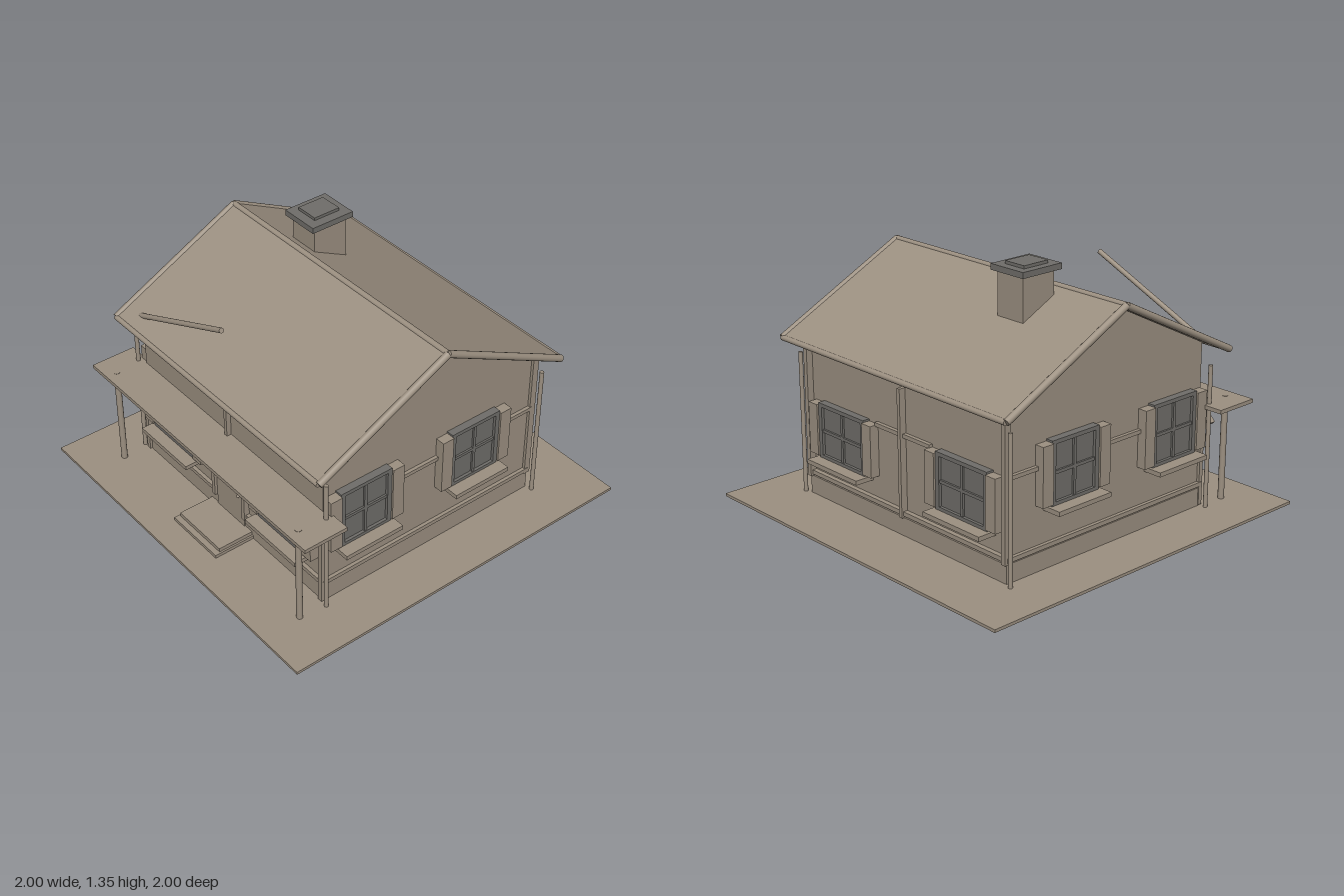
import * as THREE from 'three';

const taupe = new THREE.MeshStandardMaterial({ color: 0x9c9081 });
taupe.name = 'taupe plaster and wood';
const gray = new THREE.MeshStandardMaterial({ color: 0x706e6a });
gray.name = 'gray glass and stone';

function add(parent, name, geometry, material = taupe) {
  const mesh = new THREE.Mesh(geometry, material);
  mesh.name = name;
  parent.add(mesh);
  return mesh;
}

// Box given by its minimum and maximum on each axis
function box(parent, name, [x0, x1], [y0, y1], [z0, z1], material) {
  const mesh = add(parent, name, new THREE.BoxGeometry(x1 - x0, y1 - y0, z1 - z0), material);
  mesh.position.set((x0 + x1) / 2, (y0 + y1) / 2, (z0 + z1) / 2);
  return mesh;
}

// Round bar between two points
function rod(parent, name, a, b, radius, material) {
  const p = new THREE.Vector3(...a), q = new THREE.Vector3(...b);
  const mesh = add(parent, name, new THREE.CylinderGeometry(radius, radius, p.distanceTo(q), 14), material);
  mesh.position.copy(p).add(q).multiplyScalar(0.5);
  mesh.quaternion.setFromUnitVectors(new THREE.Vector3(0, 1, 0), q.sub(p).normalize());
  return mesh;
}

// Solid with a (z, y) outline, spanning -halfWidth to halfWidth in x
function profile(parent, name, points, halfWidth) {
  const shape = new THREE.Shape(points.map(([z, y]) => new THREE.Vector2(-z, y)));
  const geometry = new THREE.ExtrudeGeometry(shape, { depth: halfWidth * 2, bevelEnabled: false });
  geometry.translate(0, 0, -halfWidth).rotateY(Math.PI / 2);
  return add(parent, name, geometry);
}

// Window with cross bars, sill and shutters, facing local +z
function makeWindow(w, h) {
  const g = new THREE.Group();
  g.name = 'window';
  const x = w / 2, y = h / 2;
  box(g, 'glass', [-x, x], [-y, y], [0, 0.025], gray);
  for (const s of [-1, 1]) {
    box(g, 'frameSide', [s * x - 0.012, s * x + 0.012], [-y, y], [0, 0.04], gray);
    box(g, 'frameRail', [-x, x], [s * (y - 0.01) - 0.01, s * (y - 0.01) + 0.01], [0, 0.04], gray);
    const c = s * (x + 0.045);
    box(g, 'shutter', [c - 0.033, c + 0.033], [-y + 0.015, y - 0.01], [0, 0.05]);
  }
  box(g, 'uprightBar', [-0.008, 0.008], [-y, y], [0, 0.035], gray);
  box(g, 'crossBar', [-x, x], [-0.008, 0.008], [0, 0.035], gray);
  box(g, 'sill', [-x - 0.03, x + 0.03], [-y - 0.02, -y + 0.003], [0, 0.105]);
  return g;
}

export function createModel() {
  const model = new THREE.Group();
  model.name = 'house';
  const front = 0.62, back = -0.65, side = 0.71, ridge = -0.015;

  // Ground and body
  box(model, 'ground', [-1, 1], [0, 0.015], [-1, 1]);
  box(model, 'foundation', [-0.72, 0.72], [0.015, 0.11], [-0.67, 0.63]);
  profile(model, 'walls', [[front, 0.1], [front, 0.865], [ridge, 1.185], [back, 0.865], [back, 0.1]], side);

  // Roof slabs with round edging
  profile(model, 'roof', [[0.72, 0.82], [0.72, 0.84], [ridge, 1.21], [-0.755, 0.84], [-0.755, 0.82], [ridge, 1.185]], 0.79);
  rod(model, 'ridgeTrim', [-0.8, 1.2, ridge], [0.8, 1.2, ridge], 0.016);
  for (const z of [0.715, -0.75]) {
    rod(model, 'eaveTrim', [-0.8, 0.832, z], [0.8, 0.832, z], 0.014);
    for (const s of [-1, 1]) rod(model, 'rakeTrim', [s * 0.802, 0.832, z], [s * 0.802, 1.2, ridge], 0.018);
  }
  rod(model, 'loosePole', [-0.7, 0.865, 0.64], [0, 1.17, 0.64], 0.013);

  // Chimney
  box(model, 'chimney', [-0.405, -0.235], [0.95, 1.3], [-0.275, -0.08]);
  box(model, 'chimneyCap', [-0.43, -0.215], [1.3, 1.33], [-0.3, -0.055], gray);
  box(model, 'chimneyTop', [-0.39, -0.265], [1.33, 1.345], [-0.255, -0.105], gray);

  // Windows on all four walls
  for (const s of [-1, 1]) {
    const placements = [
      [0.325, 0.29, s * 0.437, 0.385, front, 0],
      [0.325, 0.29, s * 0.437, 0.385, back, Math.PI],
      [0.275, 0.32, s * side, 0.485, 0.398, s * Math.PI / 2],
      [0.275, 0.32, s * side, 0.485, -0.27, s * Math.PI / 2],
    ];
    for (const [w, h, x, y, z, turn] of placements) {
      const win = makeWindow(w, h);
      win.position.set(x, y, z);
      win.rotation.y = turn;
      model.add(win);
    }
  }

  // Wall bands, corner posts and centre battens
  box(model, 'backLowerBand', [-0.72, 0.72], [0.12, 0.142], [-0.675, back]);
  box(model, 'backUpperBand', [-0.2, 0.2], [0.515, 0.535], [-0.67, back]);
  box(model, 'backBatten', [-0.01, 0.01], [0.11, 0.76], [-0.685, back]);
  box(model, 'frontBatten', [-0.01, 0.01], [0.48, 0.76], [front, 0.645]);
  for (const s of [-1, 1]) {
    const span = (a, b) => s > 0 ? [a, b] : [-b, -a];
    box(model, 'frontLowerBand', span(0.12, 0.72), [0.12, 0.142], [front, 0.64]);
    box(model, 'sideLowerBand', span(side, 0.728), [0.12, 0.142], [-0.67, 0.635]);
    for (const z of [[-0.067, 0.19], [-0.66, -0.475]]) {
      box(model, 'sideUpperBand', span(side, 0.728), [0.515, 0.535], z);
    }
    for (const z of [0.638, -0.68]) {
      rod(model, 'cornerPost', [s * 0.755, 0, z], [s * 0.755, 0.755, z], 0.011);
    }
    box(model, 'backCornerTrim', span(0.7, 0.725), [0.11, 0.82], [-0.685, back]);
    box(model, 'frontCornerTrim', span(0.7, 0.725), [0.02, 0.54], [front, 0.643]);

    // Porch posts and braces
    rod(model, 'porchPost', [s * 0.735, 0, 0.78], [s * 0.735, 0.562, 0.78], 0.016);
    const brace = add(model, 'porchBrace', new THREE.BoxGeometry(0.15, 0.018, 0.05));
    brace.position.set(s * 0.672, 0.485, 0.69);
    brace.rotation.z = -s * Math.PI / 4;
  }
  box(model, 'porchRoof', [-0.86, 0.86], [0.54, 0.56], [0.6, 0.84]);

  // Door, its surround and steps
  box(model, 'door', [-0.11, 0.11], [0.05, 0.465], [front, 0.635]);
  box(model, 'doorWindow', [-0.065, 0.065], [0.27, 0.395], [0.635, 0.642], gray);
  for (const s of [-1, 1]) box(model, 'doorJamb', [s * 0.122 - 0.012, s * 0.122 + 0.012], [0.11, 0.49], [front, 0.65]);
  box(model, 'doorLintel', [-0.11, 0.11], [0.465, 0.49], [front, 0.65]);
  const knob = add(model, 'doorKnob', new THREE.SphereGeometry(0.008, 12, 8));
  knob.position.set(0.075, 0.225, 0.642);
  box(model, 'lowerStep', [-0.175, 0.175], [0.015, 0.032], [0.63, 0.855]);
  box(model, 'upperStep', [-0.165, 0.165], [0.032, 0.052], [0.63, 0.825]);

  return model;
}
